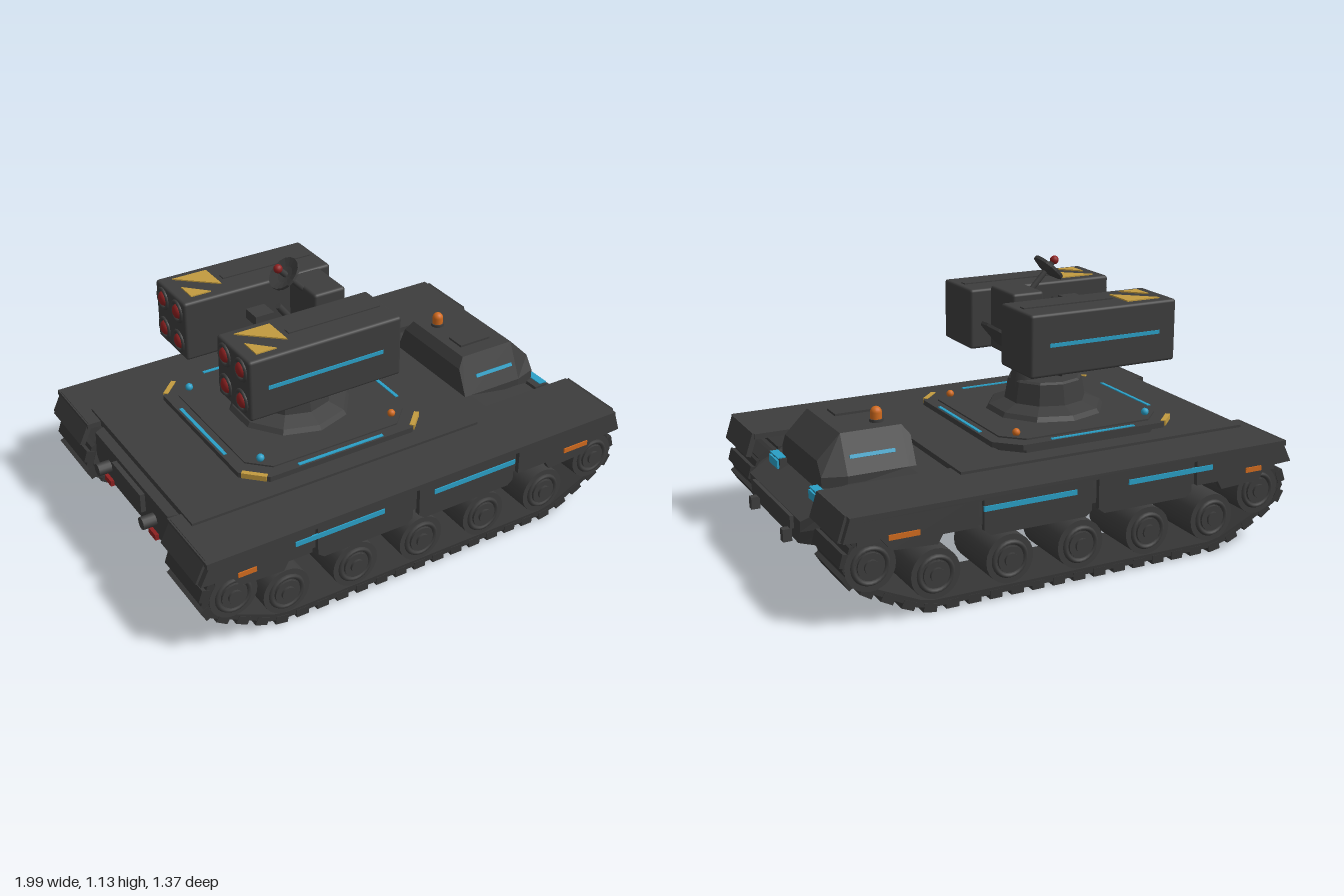
import * as THREE from 'three';
import { RoundedBoxGeometry } from 'three/addons/geometries/RoundedBoxGeometry.js';

const material = (name, color, side = THREE.FrontSide) => {
  const m = new THREE.MeshStandardMaterial({ color, side });
  m.name = name;
  return m;
};

const flat = (geo) => {
  const g = geo.index ? geo.toNonIndexed() : geo;
  g.computeVertexNormals();
  return g;
};
const box = (w, h, d) => new THREE.BoxGeometry(w, h, d);
const disc = (r, len, n = 20) => new THREE.CylinderGeometry(r, r, len, n).rotateX(Math.PI / 2);
const shapeOf = (pts) => new THREE.Shape(pts.map(([x, y]) => new THREE.Vector2(x, y)));

// Six-sided hull body lofted along x; section = [x, topHalfWidth, topY, midHalfWidth, midY, bottomHalfWidth, bottomY]
function loft(sections) {
  const rings = sections.map(([x, a, t, b, m, c, l]) =>
    [[x, t, a], [x, t, -a], [x, m, -b], [x, l, -c], [x, l, c], [x, m, b]]);
  const pos = [];
  const tri = (...v) => v.forEach((p) => pos.push(...p));
  for (let s = 0; s < rings.length - 1; s++) {
    const a = rings[s], b = rings[s + 1];
    for (let i = 0; i < 6; i++) {
      const j = (i + 1) % 6;
      tri(a[i], b[i], b[j]);
      tri(a[i], b[j], a[j]);
    }
  }
  const f = rings[0], e = rings[rings.length - 1];
  for (let k = 1; k < 5; k++) {
    tri(f[0], f[k], f[k + 1]);
    tri(e[0], e[k + 1], e[k]);
  }
  const g = new THREE.BufferGeometry();
  g.setAttribute('position', new THREE.Float32BufferAttribute(pos, 3));
  g.computeVertexNormals();
  return g;
}

// Horizontal plate with cut corners
function cutPlate(w, d, cut, h) {
  const a = w / 2, b = d / 2;
  const s = shapeOf([[a, -b + cut], [a, b - cut], [a - cut, b], [-a + cut, b],
    [-a, b - cut], [-a, -b + cut], [-a + cut, -b], [a - cut, -b]]);
  return new THREE.ExtrudeGeometry(s, { depth: h, bevelEnabled: false }).rotateX(-Math.PI / 2);
}

export function createModel() {
  const body = material('dark grey armour', 0x3d3d3d);
  const rubber = material('track grey', 0x363636);
  const cyan = material('cyan light', 0x2a9fc6);
  const orange = material('orange lamp', 0xd06a1e);
  const yellow = material('hazard yellow', 0xc29b3f);
  const red = material('red', 0x8c2020);

  const model = new THREE.Group();
  model.name = 'missileVehicle';
  const add = (name, geo, mat, x = 0, y = 0, z = 0, parent = model) => {
    const m = new THREE.Mesh(geo, mat);
    m.name = name;
    m.position.set(x, y, z);
    parent.add(m);
    return m;
  };

  // Hull and deck
  add('hull', loft([
    [-0.94, 0.33, 0.41, 0.34, 0.3, 0.3, 0.25],
    [-0.86, 0.36, 0.42, 0.36, 0.27, 0.31, 0.16],
    [0.5, 0.36, 0.42, 0.36, 0.27, 0.31, 0.16],
    [0.8, 0.35, 0.37, 0.35, 0.27, 0.31, 0.16],
    [0.96, 0.3, 0.295, 0.29, 0.25, 0.27, 0.2]]), body);
  add('deck', box(1.28, 0.035, 0.91), body, -0.26, 0.424, 0);
  add('nosePlate', box(0.03, 0.05, 0.45), body, 0.96, 0.268, 0);
  add('rearPlate', box(0.03, 0.08, 0.26), body, -0.945, 0.35, 0);

  // Cab
  add('cab', loft([
    [0.47, 0.2, 0.53, 0.25, 0.42, 0.25, 0.39],
    [0.5, 0.18, 0.57, 0.25, 0.42, 0.25, 0.39],
    [0.75, 0.18, 0.57, 0.25, 0.42, 0.25, 0.39],
    [0.845, 0.18, 0.475, 0.22, 0.42, 0.22, 0.36]]), body);
  add('cabHatch', box(0.15, 0.012, 0.085), body, 0.615, 0.573, 0.07);
  add('beacon', new THREE.CapsuleGeometry(0.023, 0.03, 6, 14), orange, 0.57, 0.592, -0.1);
  add('beaconBase', new THREE.CylinderGeometry(0.028, 0.028, 0.012, 14), body, 0.57, 0.575, -0.1);

  for (const s of [1, -1]) {
    const stripe = add('cabStripe', box(0.185, 0.015, 0.008), cyan, 0.637, 0.485, s * 0.221);
    stripe.rotation.x = -s * 0.437;
    // Headlights, tow hooks and rear fittings
    add('headlightHousing', box(0.06, 0.06, 0.12), body, 0.845, 0.348, s * 0.23);
    add('headlight', box(0.009, 0.034, 0.1), cyan, 0.879, 0.353, s * 0.23);
    add('headlightTop', box(0.035, 0.006, 0.1), cyan, 0.862, 0.379, s * 0.23);
    add('towHook', box(0.036, 0.05, 0.03), body, 0.98, 0.21, s * 0.19);
    add('exhaust', disc(0.026, 0.09, 12).rotateY(Math.PI / 2), body, -0.95, 0.32, s * 0.205);
    add('tailLight', box(0.02, 0.025, 0.06), red, -0.945, 0.255, s * 0.205);
  }

  // Tracks: belt, cleats and wheels
  const half = [[0.62, 0.02], [0.68, 0.035], [0.92, 0.16], [0.955, 0.23], [0.925, 0.31], [0.85, 0.345]];
  const loop = [...half, ...half.map(([x, y]) => [-x, y]).reverse()];
  const belt = shapeOf(loop);
  belt.holes.push(new THREE.Path(loop.map(([x, y]) =>
    new THREE.Vector2(x * 0.97, 0.19 + (y - 0.19) * 0.84))));
  const beltGeo = new THREE.ExtrudeGeometry(belt, { depth: 0.27, bevelEnabled: false }).translate(0, 0, -0.135);
  const outline = shapeOf([...loop, loop[0]]);
  const cleats = outline.getSpacedPoints(46).slice(0, 46);
  const cleatGeo = box(0.052, 0.034, 0.274);
  const wheels = [[-0.845, 0.23], [0.83, 0.23]];
  for (let i = 0; i < 5; i++) wheels.push([-0.626 + i * 0.301, 0.15]);

  // Skirt panels, as side outlines
  const panels = [
    [[-0.94, 0.43], [-0.985, 0.34], [-0.86, 0.335], [-0.83, 0.285], [-0.65, 0.275], [-0.63, 0.31], [-0.53, 0.31], [-0.53, 0.43]],
    [[-0.505, 0.42], [-0.505, 0.29], [-0.48, 0.27], [-0.11, 0.27], [-0.085, 0.29], [-0.085, 0.42]],
    [[-0.055, 0.42], [-0.055, 0.29], [-0.03, 0.27], [0.37, 0.27], [0.395, 0.29], [0.395, 0.42]],
    [[0.42, 0.43], [0.42, 0.31], [0.56, 0.31], [0.58, 0.275], [0.76, 0.285], [0.8, 0.335], [0.94, 0.34], [0.91, 0.43]]];

  for (const s of [1, -1]) {
    const track = new THREE.Group();
    track.name = s > 0 ? 'trackNear' : 'trackFar';
    track.position.z = s * 0.515;
    model.add(track);
    add('trackBelt', beltGeo, rubber, -0.02, 0, 0, track);
    cleats.forEach((p, i) => {
      const a = cleats[(i + 45) % 46], b = cleats[(i + 1) % 46];
      const c = add('trackCleat', cleatGeo, rubber, p.x - 0.02, p.y, 0, track);
      c.rotation.z = Math.atan2(b.y - a.y, b.x - a.x);
    });
    for (const [x, y] of wheels) {
      add('wheel', disc(0.098, 0.275, 24), body, x, y, 0, track);
      add('wheelRing', new THREE.TorusGeometry(0.066, 0.01, 6, 24), body, x, y, s * 0.138, track);
      add('wheelHub', disc(0.052, 0.295), body, x, y, 0, track);
      add('wheelCap', disc(0.028, 0.315, 14), body, x, y, 0, track);
    }

    // Fender and side skirt
    add('fender', box(1.87, 0.022, 0.315), body, -0.022, 0.42, s * 0.523);
    add('skirtBacking', box(1.8, 0.11, 0.015), body, -0.02, 0.365, s * 0.653);
    for (const p of panels) {
      const g = new THREE.ExtrudeGeometry(shapeOf(p), { depth: 0.024, bevelEnabled: false });
      add('skirtPanel', g, body, 0, 0, s * 0.668 - 0.012);
    }
    for (const [x, tilt] of [[-0.962, -0.45], [0.925, 0.32]]) {
      add('mudFlap', box(0.022, 0.1, 0.28), body, x, 0.383, s * 0.515).rotation.z = tilt;
    }
    add('skirtStripe', box(0.385, 0.02, 0.008), cyan, -0.408, 0.376, s * 0.681);
    add('skirtStripe', box(0.385, 0.02, 0.008), cyan, 0.205, 0.376, s * 0.681);
    add('markerRear', box(0.075, 0.02, 0.008), orange, -0.8, 0.335, s * 0.681);
    add('markerFront', box(0.12, 0.02, 0.008), orange, 0.71, 0.335, s * 0.681);
  }

  // Turret ring plates with lights
  const cx = -0.228;
  add('turretBase', cutPlate(0.73, 0.74, 0.08, 0.04), body, cx, 0.435, 0);
  add('turretPlate', cutPlate(0.82, 0.82, 0.09, 0.022), body, cx, 0.468, 0);
  add('turretInnerPlate', cutPlate(0.72, 0.72, 0.08, 0.008), body, cx, 0.488, 0);
  for (const s of [1, -1]) {
    add('ringLightSide', box(0.38, 0.006, 0.014), cyan, cx, 0.491, s * 0.395);
    add('ringLightEnd', box(0.014, 0.006, 0.38), cyan, cx + s * 0.395, 0.491, 0);
    add('ringLampOrange', new THREE.SphereGeometry(0.016, 12, 8), orange, 0.065, 0.507, s * 0.3);
    add('ringLampCyan', new THREE.SphereGeometry(0.016, 12, 8), cyan, -0.53, 0.507, s * 0.3);
  }
  for (const [sx, sz] of [[1, 1], [-1, 1], [-1, -1]]) {
    const c = add('hazardCorner', box(0.1, 0.022, 0.02), yellow, cx + sx * 0.362, 0.482, sz * 0.362);
    c.rotation.y = sx * sz * Math.PI / 4;
  }

  // Faceted pedestal
  const v2 = (pts) => pts.map(([x, y]) => new THREE.Vector2(x, y));
  add('pedestal', flat(new THREE.LatheGeometry(v2([[0.255, 0.485], [0.235, 0.515], [0.17, 0.54],
    [0.155, 0.625], [0.145, 0.633], [0, 0.633]]), 10)), body, cx, 0, 0);

  // Tilted main dish, its feed and the central housing
  const bowl = (r, d) => flat(new THREE.LatheGeometry(v2([[0, 0], [r * 0.5, d * 0.3], [r, d],
    [r, d + 0.012], [r * 0.5, d * 0.3 + 0.014], [0, 0.014]]), 16));
  const dish = new THREE.Group();
  dish.name = 'mainDish';
  dish.position.set(-0.09, 0.71, 0);
  dish.rotation.z = 0.65;
  model.add(dish);
  add('dishBowl', bowl(0.2, 0.045), body, 0, 0, 0, dish);
  add('dishFeedArm', new THREE.CylinderGeometry(0.014, 0.014, 0.3, 8), body, 0, 0.15, 0, dish);
  add('dishFeed', box(0.08, 0.04, 0.08), body, -0.35, 0.93, 0);
  add('dishMount', new THREE.CylinderGeometry(0.05, 0.07, 0.14, 10), body, -0.14, 0.67, 0);
  add('housing', new RoundedBoxGeometry(0.14, 0.26, 0.2, 2, 0.012), body, -0.095, 0.877, 0);
  add('launcherAxle', disc(0.034, 0.3, 14), body, -0.1, 0.86, 0);

  // Small antenna on top
  const antenna = new THREE.Group();
  antenna.name = 'antenna';
  antenna.position.set(-0.165, 1.0, 0);
  antenna.rotation.z = 0.76;
  model.add(antenna);
  add('antennaMast', new THREE.CylinderGeometry(0.012, 0.012, 0.15, 8), body, 0, 0.065, 0, antenna);
  add('antennaDish', bowl(0.07, 0.018), body, 0, 0.085, 0, antenna);
  add('antennaTip', new THREE.SphereGeometry(0.018, 14, 10), red, 0, 0.148, 0, antenna);

  // Launcher pods with missiles at the rear face
  const hazard = [
    [[-0.555, 0.345], [-0.405, 0.345], [-0.405, 0.21]],
    [[-0.555, 0.265], [-0.47, 0.175], [-0.555, 0.175]]];
  for (const s of [1, -1]) {
    const pz = s * 0.258;
    add('launcherPod', new RoundedBoxGeometry(0.655, 0.25, 0.25, 2, 0.012), body, -0.28, 0.862, pz);
    add('launcherRib', box(0.4, 0.008, 0.03), body, -0.18, 0.988, pz);
    add('launcherStripe', box(0.495, 0.015, 0.008), cyan, -0.283, 0.862, s * 0.383);
    for (const p of hazard) {
      const g = new THREE.ExtrudeGeometry(shapeOf(p), { depth: 0.006, bevelEnabled: false });
      add('launcherHazard', g.rotateX(-Math.PI / 2), yellow, 0, 0.986, pz + 0.26);
    }
    for (const dy of [-0.062, 0.068]) for (const dz of [-0.062, 0.062]) {
      const tube = new THREE.TorusGeometry(0.04, 0.008, 6, 18).rotateY(Math.PI / 2);
      add('missileTube', tube, body, -0.608, 0.862 + dy, pz + dz);
      add('missileTip', new THREE.SphereGeometry(0.03, 14, 10).scale(0.65, 1, 1), red, -0.606, 0.862 + dy, pz + dz);
    }
  }
  return model;
}
